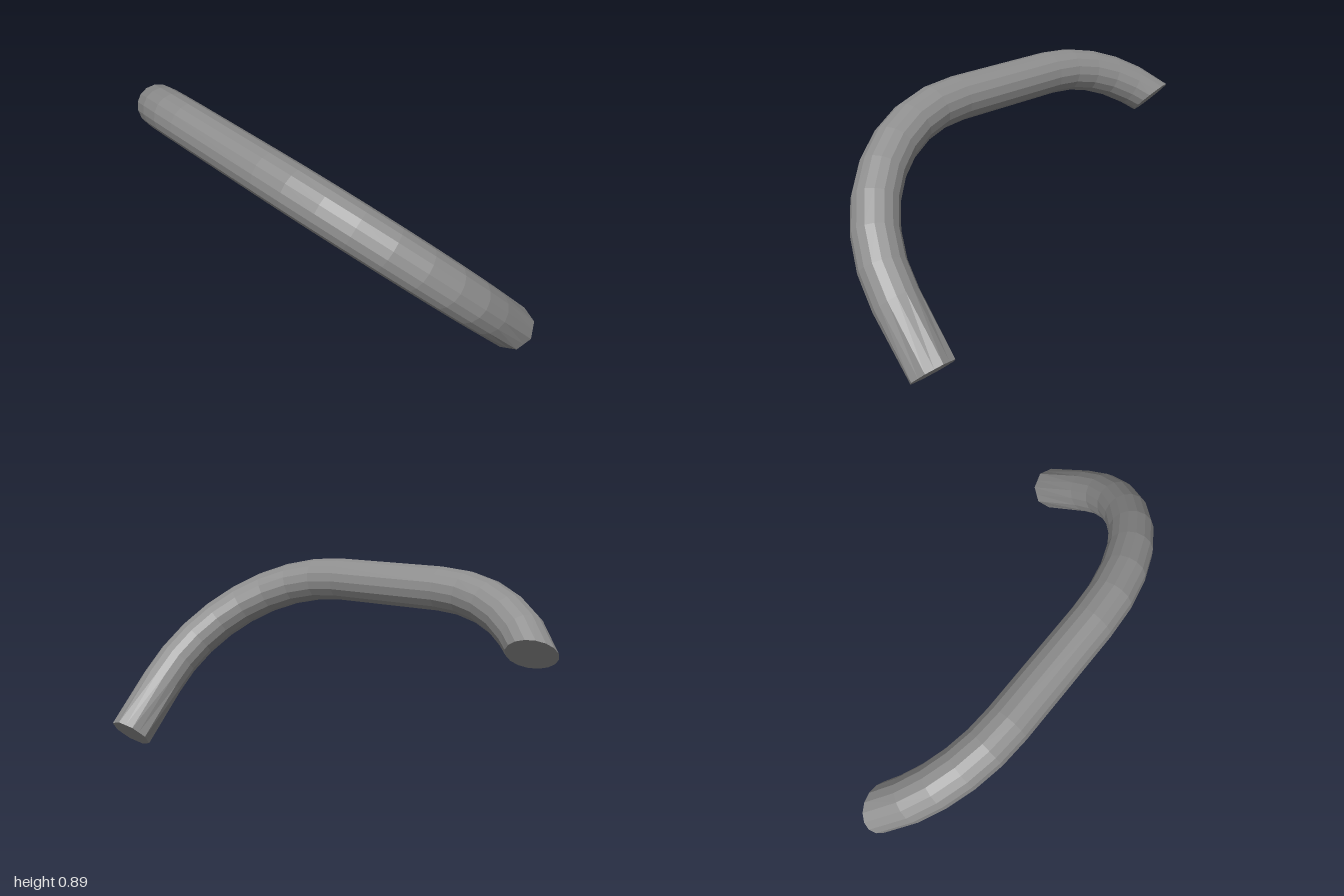
import * as THREE from 'three';

const SIDES = 16;
const RADIUS = 0.0985;

// The bar is bent in one plane: s runs down the 45 degree slope, z is depth.
const S = new THREE.Vector3(1, -1, 0).normalize();
const Z = new THREE.Vector3(0, 0, 1);
const W = new THREE.Vector3().crossVectors(S, Z);
const ORIGIN = new THREE.Vector3(-0.347, 0.792, 0);
const inPlane = (s, z) => new THREE.Vector3().addScaledVector(S, s).addScaledVector(Z, z);

// Centre line stations: position, tangent, skew of the cut, octagonal or round
function stations() {
  const list = [];
  const add = (s, z, ts, tz, skew = 0, octagon = false) =>
    list.push({ p: inPlane(s, z).add(ORIGIN), t: inPlane(ts, tz), n: inPlane(-tz, ts), skew, octagon });

  // straight lower end
  add(1.021, 0.9015, -1, 0, 0, true);
  // wide front bend
  const R1 = 0.72, z1 = 0.1815;
  for (let i = 0; i <= 8; i++) {
    const a = (i / 8) * Math.PI / 2;
    add(R1 * (1 - Math.sin(a)), z1 + R1 * Math.cos(a), -Math.cos(a), -Math.sin(a));
  }
  // straight top run, then the rear bend ending in an oblique cut
  const R2 = 0.65, z2 = -0.363, end = 0.958;
  for (let i = 0; i <= 5; i++) {
    const a = (i / 5) * end;
    add(R2 * (1 - Math.cos(a)), z2 - R2 * Math.sin(a), Math.sin(a), -Math.cos(a), i === 5 ? -0.45 : 0);
  }
  return list;
}

function ring({ p, t, n, skew, octagon }) {
  const points = [];
  for (let j = 0; j < SIDES; j++) {
    const a = (j / SIDES) * Math.PI * 2;
    const r = octagon && j % 2 ? RADIUS * Math.cos(Math.PI / 8) : RADIUS;
    points.push(p.clone()
      .addScaledVector(n, r * Math.cos(a))
      .addScaledVector(t, r * Math.cos(a) * skew)
      .addScaledVector(W, r * Math.sin(a)));
  }
  return points;
}

function barGeometry() {
  const path = stations();
  const rings = path.map(ring);
  const pos = [];
  const tri = (...corners) => corners.forEach((v) => pos.push(v.x, v.y, v.z));
  const last = rings.length - 1;

  for (let j = 0; j < SIDES; j++) {
    const k = (j + 1) % SIDES;
    // tube wall
    for (let i = 0; i < last; i++) {
      const a = rings[i], b = rings[i + 1];
      tri(a[j], a[k], b[k]);
      tri(a[j], b[k], b[j]);
    }
    // flat end caps
    tri(path[0].p, rings[0][k], rings[0][j]);
    tri(path[last].p, rings[last][j], rings[last][k]);
  }
  const geometry = new THREE.BufferGeometry();
  geometry.setAttribute('position', new THREE.Float32BufferAttribute(pos, 3));
  geometry.computeVertexNormals();
  return geometry;
}

export function createModel() {
  const group = new THREE.Group();
  group.name = 'bentBar';
  const material = new THREE.MeshStandardMaterial({ color: 0x8e8e8e, flatShading: true });
  const bar = new THREE.Mesh(barGeometry(), material);
  bar.name = 'curvedTube';
  group.add(bar);
  return group;
}
